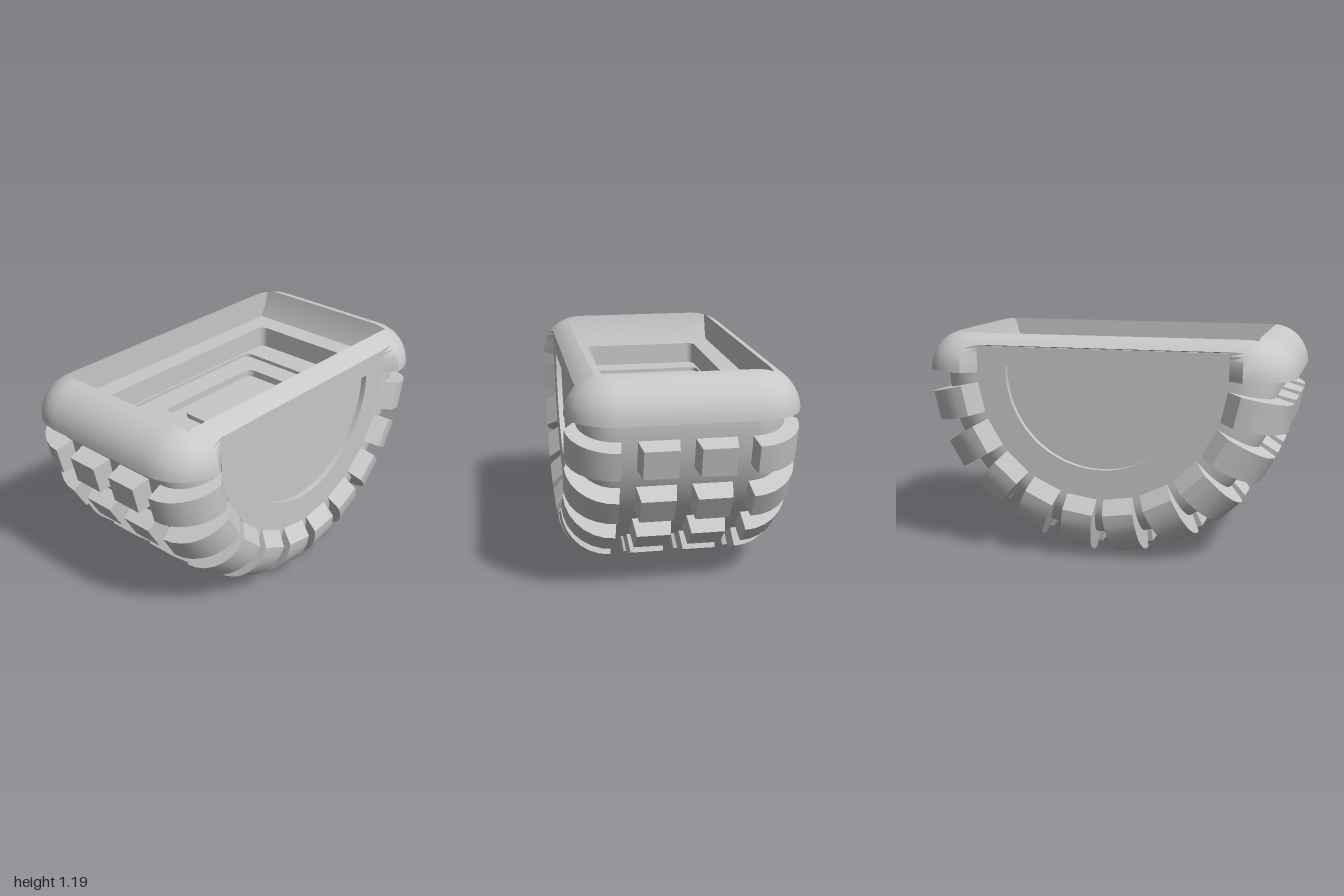
import * as THREE from 'three';
import { toCreasedNormals } from 'three/addons/utils/BufferGeometryUtils.js';

const rad = THREE.MathUtils.degToRad;
const CY = 0.998; // height of the wheel axis

// Skin a list of cross-section loops; optionally close the loops and cap both ends
function loft(rings, closed, capped, crease = 0.55) {
  const n = rings[0].length, index = [];
  for (let i = 0; i < rings.length - 1; i++) {
    for (let j = 0; j < (closed ? n : n - 1); j++) {
      const a = i * n + j, b = i * n + (j + 1) % n;
      index.push(a, b, b + n, a, b + n, a + n);
    }
  }
  if (capped) {
    const last = (rings.length - 1) * n;
    for (let j = 1; j < n - 1; j++) index.push(0, j + 1, j, last, last + j, last + j + 1);
  }
  const geo = new THREE.BufferGeometry();
  geo.setAttribute('position', new THREE.Float32BufferAttribute(rings.flat(2), 3));
  geo.setIndex(index);
  return toCreasedNormals(geo, crease);
}

// Point at an angle from straight down, around the axis
const polar = (deg, r, z) => [r * Math.sin(rad(deg)), CY - r * Math.cos(rad(deg)), z];

function roundedRect(hx, hz, r, Type = THREE.Shape) {
  const s = new Type();
  s.moveTo(-hx + r, -hz);
  s.absarc(hx - r, -hz + r, r, -Math.PI / 2, 0);
  s.absarc(hx - r, hz - r, r, 0, Math.PI / 2);
  s.absarc(-hx + r, hz - r, r, Math.PI / 2, Math.PI);
  s.absarc(-hx + r, -hz + r, r, Math.PI, Math.PI * 1.5);
  return s;
}

function halfDisc(r, top, Type = THREE.Shape) {
  const s = new Type();
  s.moveTo(-r, top);
  s.lineTo(-r, CY);
  s.absarc(0, CY, r, Math.PI, Math.PI * 2);
  s.lineTo(r, top);
  s.closePath();
  return s;
}

export function createModel() {
  const model = new THREE.Group();
  model.name = 'halfWheelTray';
  const grey = new THREE.MeshStandardMaterial({ color: 0xc8c8c8 });
  grey.name = 'grey';
  const add = (name, geo, parent = model) => {
    const mesh = new THREE.Mesh(geo, grey);
    mesh.name = name;
    parent.add(mesh);
    return mesh;
  };

  // Carcass: rounded half tyre under the lugs
  const half = [[0, 0.9]];
  for (let i = 0; i <= 8; i++) {
    const a = rad(i * 11.25);
    half.push([0.34 + 0.188 * Math.sin(a), 0.7 + 0.2 * Math.cos(a)]);
  }
  half.push([0.525, 0.66]);
  const profile = [...half.slice(1).reverse().map(([z, r]) => [-z, r]), ...half];
  add('carcass', loft(profile.map(([z, r]) => {
    const ring = [];
    for (let k = 0; k <= 64; k++) ring.push(polar(-91 + 182 * k / 64, r, z));
    return ring;
  }), false, false));

  // Tread lugs: sections are [top z, top r, base z, base r], widening toward the hub
  const halfAngle = r => 4.4 + (1 - r) / 0.325 * 2.5;
  const lugGeo = (sections, at) => loft(sections.map(([z, r, bz, br]) => [
    polar(at - halfAngle(br), br, bz), polar(at - halfAngle(r), r, z),
    polar(at + halfAngle(r), r, z), polar(at + halfAngle(br), br, bz),
  ]), true, true, 0.4);
  const shoulder = [[0.34, 1, 0.322, 0.88]];
  for (let i = 1; i <= 7; i++) {
    const a = rad(i * 90 / 7);
    shoulder.push([0.34 + 0.25 * Math.sin(a), 0.75 + 0.25 * Math.cos(a),
      0.34 + 0.16 * Math.sin(a), 0.7 + 0.18 * Math.cos(a)]);
  }
  shoulder.push([0.53, 0.675, 0.5, 0.67]);
  const block = [[0.055, 1, 0.036, 0.88], [0.23, 1, 0.249, 0.88]];
  const mirrored = list => [...list].reverse().map(([z, r, bz, br]) => [-z, r, -bz, br]);
  for (const side of [-1, 1]) {
    for (let k = 0; k < 5; k++) {
      const at = side * (8.4 + 17.15 * k);
      add('shoulderLugFront', lugGeo(shoulder, at));
      add('shoulderLugBack', lugGeo(mirrored(shoulder), at));
      add('treadBlockFront', lugGeo(block, at));
      add('treadBlockBack', lugGeo(mirrored(block), at));
    }
  }

  // Rim plan: corner directions plus straight edges that step in behind the side plates
  const plan = [];
  const alphas = [0, 15, 30.96, 45, 60, 75, 90];
  const corner = (sx, sz) => {
    for (const a of sx * sz > 0 ? alphas : [...alphas].reverse())
      plan.push({ cx: sx * 0.75, cz: sz * 0.34, c: Math.sin(rad(a)), s: Math.cos(rad(a)), sx, sz });
  };
  const edge = sz => {
    for (const x of [-0.675, -0.66, 0.66, 0.675])
      plan.push({ cx: x * sz, cz: sz * 0.34, c: 0, s: 1, sx: 1, sz, clip: Math.abs(x) < 0.67 ? 0.48 : 0.53 });
  };
  corner(1, 1); corner(1, -1); edge(-1);
  corner(-1, -1); corner(-1, 1); edge(1);

  // Rim: domed over the edge, cut off at the rectangular opening
  const R = 0.21, steps = 10;
  const place = (p, inset, y, i) => {
    const rho = 0.25 - inset;
    let z = Math.abs(p.cz) + p.s * rho;
    if (p.clip && i < 6) z = Math.min(z, p.clip);
    return [p.cx + p.sx * p.c * rho, y, p.sz * z];
  };
  const rings = [plan.map(p => place(p, 0.14, 0.975, -1))];
  for (let i = 0; i <= steps; i++) {
    rings.push(plan.map(p => {
      const rho = Math.min(0.06 / Math.max(p.c, 1e-6), 0.1 / Math.max(p.s, 1e-6));
      const a = Math.acos(1 - (0.25 - rho) / R) * i / steps;
      return place(p, R * (1 - Math.cos(a)), 0.98 + R * Math.sin(a), i);
    }));
  }
  const lip = rings[rings.length - 1];
  rings.push(lip.map(([x, , z]) => [x * 0.975, 1.1, z]));
  rings.push(lip.map(([x, , z]) => [x * 0.93, 1.025, z]));
  add('rim', loft(rings, true, false));

  // Stepped tray inside the rim: [name, half x, half z, top y, thickness, hole half x, hole half z]
  const levels = [
    ['trayShelf', 0.8, 0.45, 1.03, 0.14, 0.63, 0.33],
    ['trayStep', 0.66, 0.36, 0.91, 0.05, 0.48, 0.32],
    ['trayBed', 0.5, 0.34, 0.89, 0.05, 0.35, 0.185],
    ['trayFloor', 0.4, 0.22, 0.85, 0.04],
    ['trayIsland', 0.28, 0.11, 0.875, 0.04],
  ];
  for (const [name, hx, hz, top, depth, ix, iz] of levels) {
    const shape = roundedRect(hx, hz, 0.04);
    if (ix) shape.holes.push(roundedRect(ix, iz, 0.04, THREE.Path));
    const geo = new THREE.ExtrudeGeometry(shape, { depth, bevelEnabled: false, curveSegments: 6 });
    geo.rotateX(-Math.PI / 2);
    add(name, geo).position.y = top - depth;
  }

  // Side plates with a recessed half-round panel, front and back
  for (const [name, turn] of [['frontPlate', 0], ['backPlate', Math.PI]]) {
    const group = new THREE.Group();
    group.name = name;
    group.rotation.y = turn;
    model.add(group);
    const shape = halfDisc(0.675, 1.121);
    shape.holes.push(halfDisc(0.515, 1.02, THREE.Path));
    const frame = new THREE.ExtrudeGeometry(shape, { depth: 0.05, bevelEnabled: false, curveSegments: 40 });
    add('plateFrame', toCreasedNormals(frame, 0.5), group).position.z = 0.48;
    add('recessPanel', new THREE.ShapeGeometry(halfDisc(0.54, 1.05), 40), group).position.z = 0.5;
  }
  return model;
}
